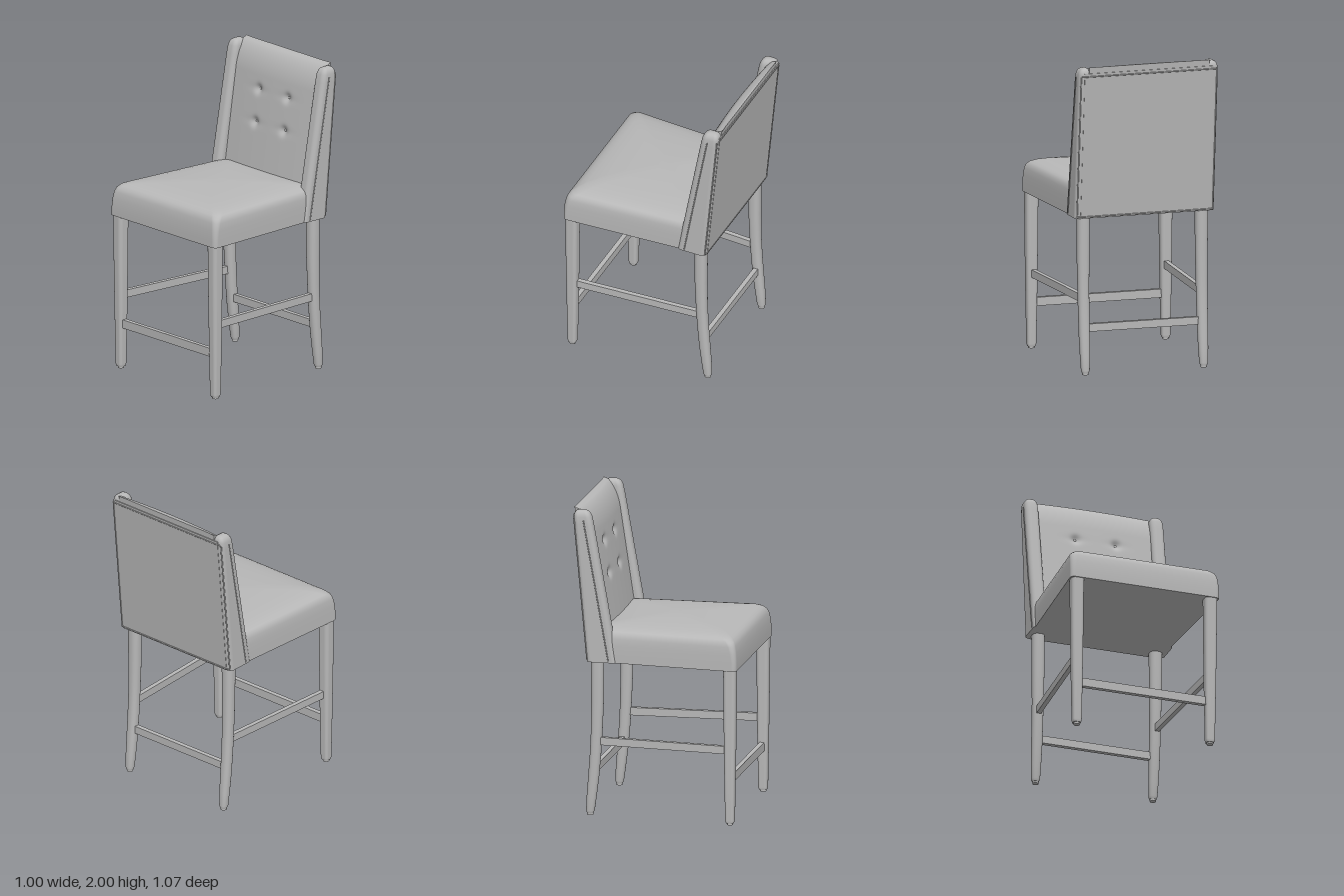
import * as THREE from 'three';

// Rounded rectangle in the xz plane at height y
function ring(cx, y, cz, hw, hd, r, taper = 0) {
  const pts = [], n = 6;
  const corners = [[1, 1], [-1, 1], [-1, -1], [1, -1]];
  corners.forEach(([sx, sz], q) => {
    for (let i = 0; i <= n; i++) {
      const a = (q + i / n) * Math.PI / 2;
      const z = cz + sz * (hd - r) + Math.sin(a) * r;
      const x = sx * (hw - r) + Math.cos(a) * r;
      pts.push(new THREE.Vector3(cx + x * (1 + taper * z), y, z));
    }
  });
  return pts;
}

// Skin over rings stacked upwards, closed at both ends
function loft(rings, topPoint, sharpTop = true) {
  const mid = (pts) => pts.reduce((s, p) => s.add(p), new THREE.Vector3()).divideScalar(pts.length);
  const pos = [], idx = [], n = rings[0].length;
  const all = [rings[0], ...rings];
  if (sharpTop) all.push(rings[rings.length - 1]);
  all.forEach((r) => r.forEach((p) => pos.push(p.x, p.y, p.z)));
  const bottom = all.length * n, top = bottom + 1, last = (all.length - 1) * n;
  [mid(rings[0]), topPoint || mid(rings[rings.length - 1])].forEach((p) => pos.push(p.x, p.y, p.z));
  for (let j = 0; j < n; j++) {
    const k = (j + 1) % n;
    for (let i = 1; i < all.length - 1; i++) {
      const a = i * n + j, b = i * n + k;
      idx.push(a, a + n, b, b, a + n, b + n);
    }
    idx.push(bottom, j, k, top, last + k, last + j);
  }
  const g = new THREE.BufferGeometry();
  g.setAttribute('position', new THREE.Float32BufferAttribute(pos, 3));
  g.setIndex(idx);
  g.computeVertexNormals();
  return g;
}

// Slopes of the backrest: wing front edge, rear face, inner cushion
const wingFront = (y) => -0.247 - 0.18 * (y - 1.01);
const rearFace = (y) => -0.445 - 0.093 * (y - 1.01);
const buttonSpots = [[-0.135, 1.73], [0.135, 1.73], [-0.135, 1.52], [0.135, 1.52]];

function cushionFront(x, y) {
  let z = -0.322 - 0.15 * (y - 1.24) - 0.016 * (x / 0.39) ** 2;
  if (y > 1.82) {
    const t = (y - 1.82) / 0.18;
    z -= 0.085 * (1 - Math.sqrt(Math.max(0, 1 - t * t)));
  }
  for (const [bx, by] of buttonSpots) {
    const dx = x - bx, dy = y - by;
    z -= 0.02 * Math.exp(-(dx * dx + dy * dy) / 0.0008);
    z -= 0.004 * Math.exp(-(dx * dx) / 0.006 - (dy * dy) / 0.0006);
  }
  return z;
}

export function createModel() {
  const group = new THREE.Group();
  const grey = new THREE.MeshStandardMaterial({ color: 0xb8b8b8 });
  grey.name = 'plain grey';
  const add = (name, geometry, x = 0, y = 0, z = 0) => {
    const m = new THREE.Mesh(geometry, grey);
    m.name = name;
    m.position.set(x, y, z);
    group.add(m);
    return m;
  };

  // Tapered padded seat with a gentle crown: [height, side inset, end inset, corner radius]
  const seatRings = [
    [1.01, 0, 0, 0.03], [1.06, 0, 0, 0.03], [1.12, 0.001, 0.004, 0.035], [1.165, 0.004, 0.012, 0.04],
    [1.19, 0.011, 0.022, 0.045], [1.208, 0.024, 0.04, 0.05], [1.22, 0.05, 0.065, 0.05],
    [1.23, 0.095, 0.1, 0.05], [1.24, 0.17, 0.17, 0.05], [1.248, 0.28, 0.28, 0.05], [1.253, 0.39, 0.4, 0.04],
  ].map(([y, ix, iz, r]) => ring(0, y, 0.05, 0.47 - ix, 0.487 - iz, r, 0.12));
  add('seat', loft(seatRings, new THREE.Vector3(0, 1.255, 0.05), false));

  // Inner back cushion with rolled top and tufted dimples
  const cushion = new THREE.BoxGeometry(0.8, 0.96, 1, 80, 96, 1);
  const p = cushion.attributes.position;
  for (let i = 0; i < p.count; i++) {
    const x = p.getX(i), y = p.getY(i) + 1.52;
    p.setXYZ(i, x, y, p.getZ(i) > 0 ? cushionFront(x, y) : rearFace(y) + 0.004);
  }
  cushion.computeVertexNormals();
  add('backCushion', cushion);
  for (const [x, y] of buttonSpots) {
    const b = add('tuftButton', new THREE.SphereGeometry(0.011, 12, 8), x, y, cushionFront(x, y));
    b.scale.z = 0.4;
  }

  // Flat outer panel closing the rear
  const panel = new THREE.BoxGeometry(0.86, 0.95, 1);
  const q = panel.attributes.position;
  for (let i = 0; i < q.count; i++) {
    const y = q.getY(i) + 1.485;
    q.setXYZ(i, q.getX(i), y, rearFace(y) + (q.getZ(i) > 0 ? 0.03 : -0.002));
  }
  panel.computeVertexNormals();
  add('rearPanel', panel);

  const tube = (name, pts, r) => add(name, new THREE.TubeGeometry(
    new THREE.CatmullRomCurve3(pts.map((a) => new THREE.Vector3(...a)), false, 'catmullrom', 0), 24, r, 6));

  for (const s of [1, -1]) {
    // Side wing: [height, inset towards its own centre]
    const wing = [[1.01, 0], [1.3, 0], [1.6, 0], [1.9, 0], [1.95, 0.002], [1.97, 0.008], [1.983, 0.018], [1.99, 0.032]]
      .map(([y, inset]) => {
        const f = wingFront(y), b = rearFace(y);
        return ring(s * 0.42, y, (f + b) / 2, 0.045 - inset, (f - b) / 2 - inset, Math.max(0.01, 0.032 - inset * 0.7));
      });
    add('sideWing', loft(wing, null, false));

    // Seam piping along the wing and rear edge
    tube('wingPiping', [[s * 0.465, 1.02, -0.3], [s * 0.465, 1.5, -0.385], [s * 0.465, 1.93, -0.462]], 0.004);
    tube('rearPiping', [[s * 0.452, 1.02, rearFace(1.02) + 0.006], [s * 0.452, 1.94, rearFace(1.94) + 0.006]], 0.005);

    // Front leg: square with rounded corners, tapering down
    const frontLeg = [[0.012, 0.447, 0.488, 0.024], [0.03, 0.447, 0.488, 0.029], [0.4, 0.447, 0.488, 0.035], [0.75, 0.447, 0.489, 0.039], [1.015, 0.447, 0.489, 0.041]]
      .map(([y, x, z, h]) => ring(s * x, y, z, h, h, h * 0.6));
    add('frontLeg', loft(frontLeg));

    // Rear leg: round, sweeping backwards at the foot
    const rearLeg = [[0.012, -0.433, 0.021], [0.03, -0.432, 0.027], [0.12, -0.424, 0.031], [0.25, -0.411, 0.034], [0.4, -0.399, 0.035], [0.55, -0.391, 0.036], [0.75, -0.386, 0.039], [1.015, -0.386, 0.041]]
      .map(([y, z, h]) => ring(s * 0.394, y, z, h, h, h * 0.85));
    add('rearLeg', loft(rearLeg));

    // Foot glides
    add('footGlide', new THREE.CylinderGeometry(0.02, 0.02, 0.016, 16), s * 0.447, 0.008, 0.488);
    add('footGlide', new THREE.CylinderGeometry(0.02, 0.02, 0.016, 16), s * 0.394, 0.008, -0.433);

    // Side stretcher joining front and rear legs
    const bar = add('sideStretcher', new THREE.BoxGeometry(0.03, 0.05, 0.88), s * 0.42, 0.485, 0.05);
    bar.rotation.y = s * 0.055;
  }

  // Piping across the rear panel
  for (const y of [1.02, 1.94]) tube('rearPiping', [[-0.45, y, rearFace(y)], [0.45, y, rearFace(y)]], 0.005);

  // Front and rear stretchers
  add('frontStretcher', new THREE.BoxGeometry(0.86, 0.055, 0.03), 0, 0.298, 0.488);
  add('rearStretcher', new THREE.BoxGeometry(0.76, 0.05, 0.03), 0, 0.298, -0.407);
  return group;
}
